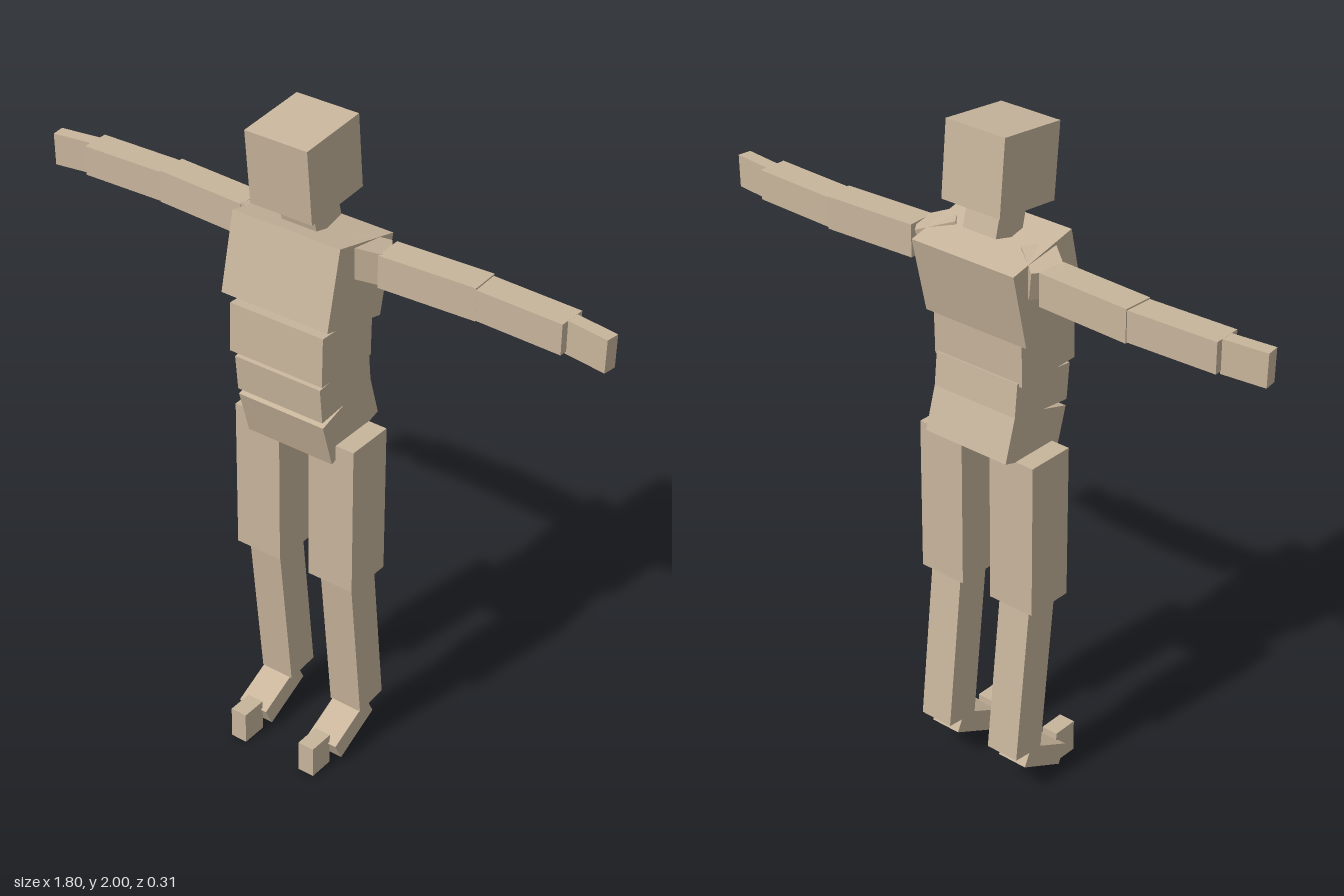
import * as THREE from 'three';

export function createModel() {
  const model = new THREE.Group();
  model.name = 'blockMannequin';
  const clay = new THREE.MeshStandardMaterial({ color: 0xc8b59c });
  clay.name = 'clay';

  // One tilted block: size, centre and rotation (yaw, then roll, then pitch)
  function block(name, size, position, rotation = [0, 0, 0]) {
    const mesh = new THREE.Mesh(new THREE.BoxGeometry(...size), clay);
    mesh.name = name;
    mesh.position.set(...position);
    mesh.rotation.set(...rotation, 'YZX');
    model.add(mesh);
  }

  // The same block on the left (+x) and right (-x)
  function pair(name, size, [x, y, z], [rx, ry, rz] = [0, 0, 0]) {
    block('left' + name, size, [x, y, z], [rx, ry, rz]);
    block('right' + name, size, [-x, y, z], [rx, -ry, -rz]);
  }

  // Head and spine
  block('head', [0.197, 0.216, 0.216], [0, 1.883, 0.002], [0.095, 0, 0]);
  block('neck', [0.112, 0.077, 0.104], [0, 1.731, -0.022], [0.25, 0, 0]);
  block('chest', [0.346, 0.229, 0.236], [0, 1.576, -0.009], [-0.228, 0, 0]);
  block('upperAbdomen', [0.304, 0.146, 0.215], [0, 1.387, 0.017], [-0.025, 0, 0]);
  block('lowerAbdomen', [0.282, 0.108, 0.216], [0, 1.257, 0.007], [0.1, 0, 0]);
  block('pelvis', [0.282, 0.142, 0.216], [0, 1.137, -0.018], [0.29, 0, 0]);

  // Arms
  pair('Shoulder', [0.11, 0.088, 0.09], [0.172, 1.637, -0.036], [0, 0.62, -0.26]);
  pair('UpperArm', [0.29, 0.095, 0.089], [0.365, 1.624, -0.066], [0, 0.05, 0]);
  pair('Forearm', [0.268, 0.088, 0.085], [0.638, 1.623, -0.067], [0, -0.035, 0]);
  pair('Hand', [0.127, 0.095, 0.04], [0.832, 1.618, -0.056], [0, -0.13, -0.02]);

  // Legs
  pair('Thigh', [0.15, 0.465, 0.15], [0.125, 0.857, -0.026]);
  pair('Shin', [0.106, 0.492, 0.107], [0.125, 0.38, -0.058], [0.107, 0, 0]);
  pair('Foot', [0.097, 0.064, 0.17], [0.127, 0.083, -0.006], [0.46, 0, 0]);
  pair('Toe', [0.052, 0.1, 0.08], [0.123, 0.05, 0.116]);

  return model;
}
